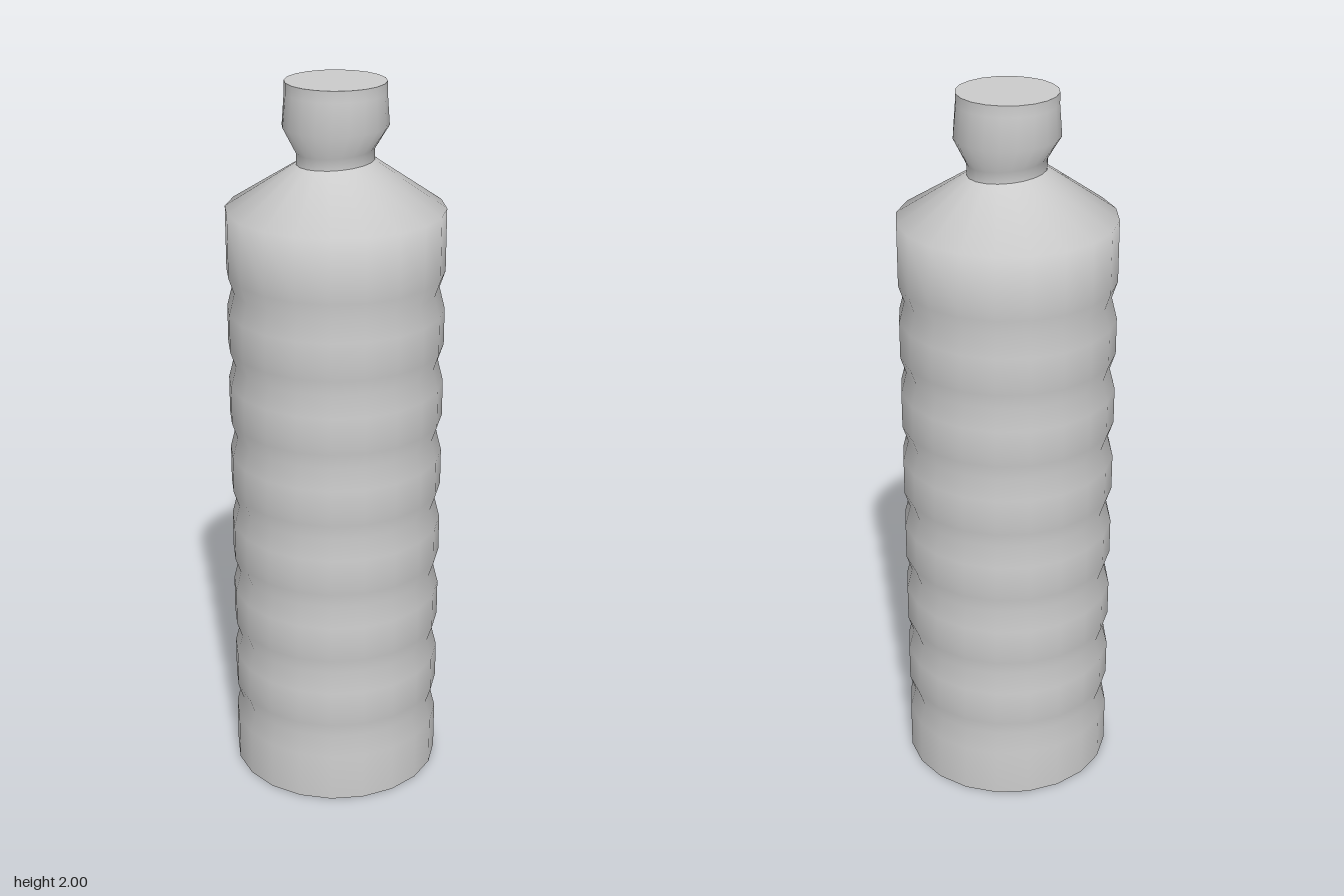
import * as THREE from 'three';

const SIDES = 20;
const R = 0.294;
const material = new THREE.MeshStandardMaterial({ color: 0xcccccc });

// Revolves [radiusX, y, radiusZ] rings, allowing slightly oval sections
function ovalLathe(name, rings) {
  const geometry = new THREE.LatheGeometry(rings.map(([r, y]) => new THREE.Vector2(r, y)), SIDES);
  const p = geometry.attributes.position;
  for (let i = 0; i < p.count; i++) {
    const [rx, , rz = rx] = rings[i % rings.length];
    p.setZ(i, p.getZ(i) * rz / rx);
  }
  const mesh = new THREE.Mesh(geometry, material);
  mesh.name = name;
  return mesh;
}

// Flat disc closing an end; facing is +1 for up, -1 for down
function disc(name, radius, y, facing) {
  const mesh = new THREE.Mesh(new THREE.CircleGeometry(radius, SIDES), material);
  mesh.rotation.x = -facing * Math.PI / 2;
  mesh.position.y = y;
  mesh.name = name;
  return mesh;
}

export function createModel() {
  const group = new THREE.Group();
  group.name = 'bottle';

  // Ribbed body: shallow grooves between straight bands
  const body = [[R, 0]];
  for (let i = 0; i < 7; i++) {
    const y = 0.2 + i * 0.208;
    body.push([R, y - 0.06], [0.279, y], [R, y + 0.045]);
  }
  // Straight upper band and conical shoulder
  body.push([R, 1.665], [0.12, 1.79, 0.092]);
  group.add(ovalLathe('body', body));

  // Pinched neck flaring into the cap
  group.add(ovalLathe('neckAndCap', [
    [0.12, 1.79, 0.092],
    [0.12, 1.82, 0.092],
    [0.146, 1.885, 0.137],
    [0.134, 1.97, 0.134],
    [0.134, 2, 0.134],
  ]));

  group.add(disc('capTop', 0.134, 2, 1), disc('base', R, 0, -1));
  return group;
}
